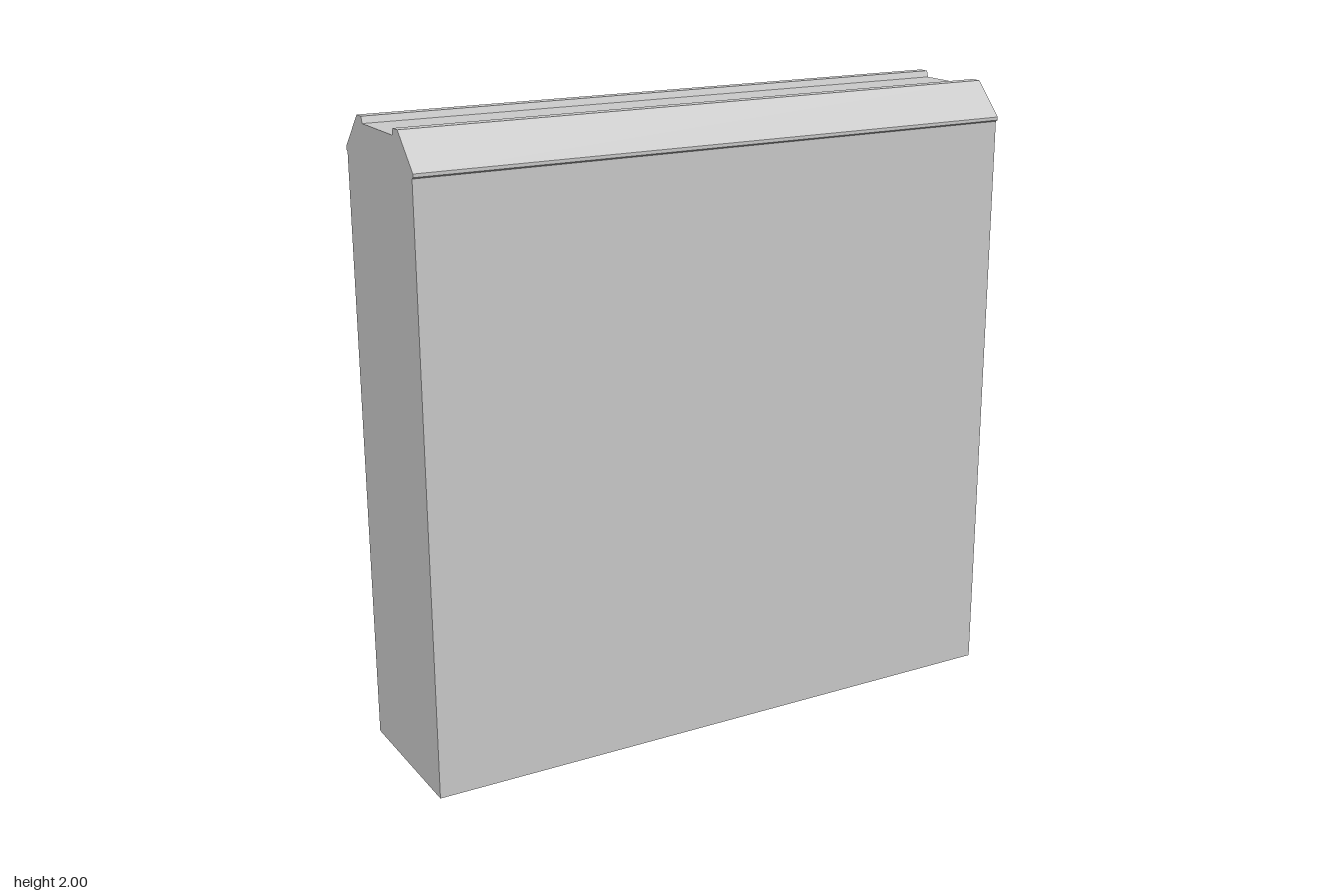
import * as THREE from 'three';

const LENGTH = 2;

// Half of the wall's cross-section as [z, y], from the foot up to the channel floor
const HALF_PROFILE = [
  [0.25, 0],
  [0.25, 1.88],    // wall face
  [0.258, 1.885],  // underside of the eave
  [0.258, 1.895],  // eave edge
  [0.157, 2],      // sloped coping
  [0.122, 2],      // crest of the lip
  [0.115, 1.98],   // channel floor
];

export function createModel() {
  const group = new THREE.Group();
  group.name = 'wallSegment';

  // Mirror the half profile to close the section
  const mirrored = HALF_PROFILE.map(([z, y]) => [-z, y]).reverse();
  const points = [...HALF_PROFILE, ...mirrored].map(([z, y]) => new THREE.Vector2(z, y));

  // Sweep the section along x
  const geometry = new THREE.ExtrudeGeometry(new THREE.Shape(points), {
    depth: LENGTH,
    bevelEnabled: false,
  });
  geometry.translate(0, 0, -LENGTH / 2);
  geometry.rotateY(-Math.PI / 2);

  const material = new THREE.MeshStandardMaterial({ color: 0xcccccc, flatShading: true });
  const wall = new THREE.Mesh(geometry, material);
  wall.name = 'wallWithCoping';
  group.add(wall);

  return group;
}
